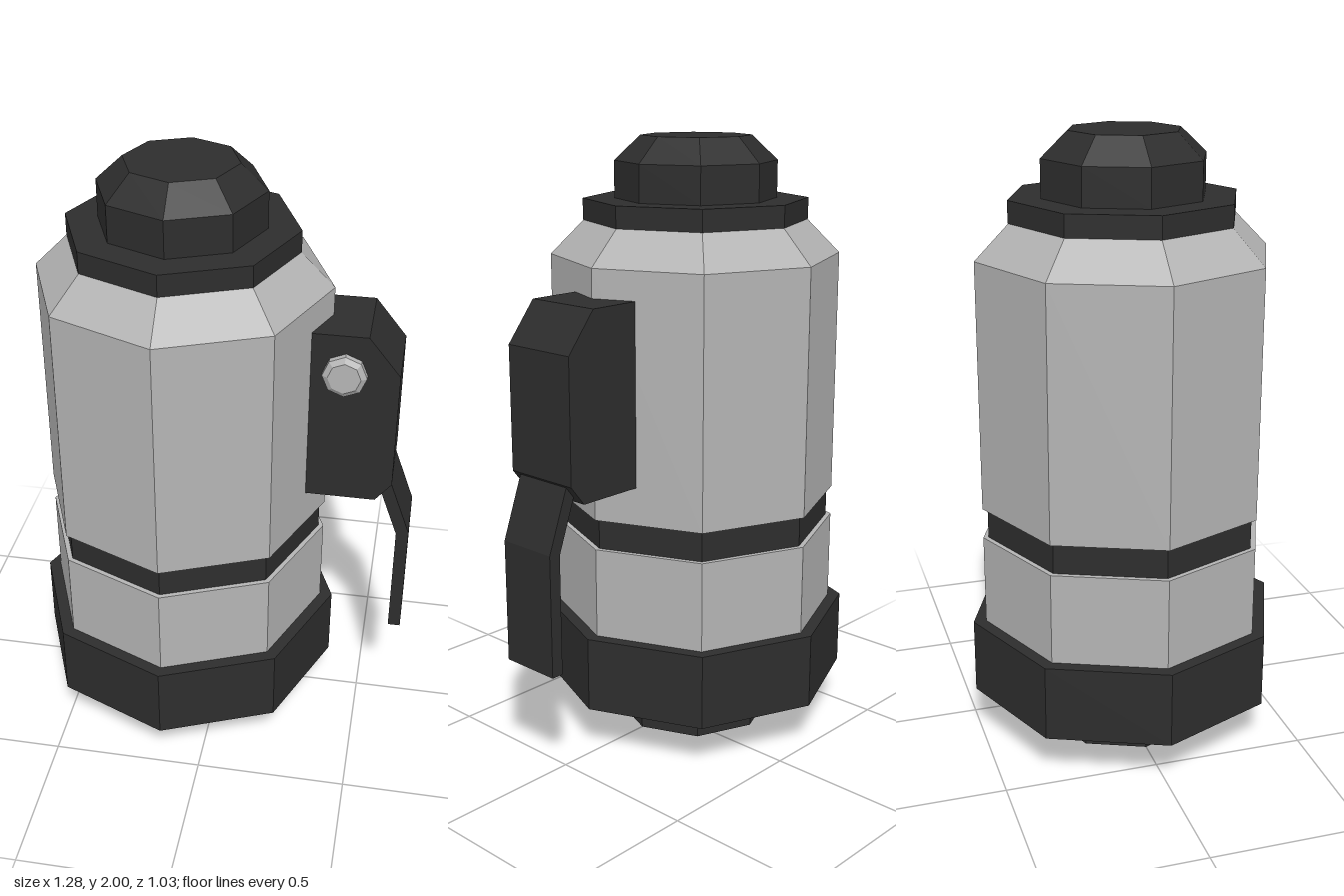
import * as THREE from 'three';

const AXIS_X = -0.127;

export function createModel() {
  const model = new THREE.Group();
  model.name = 'canister';

  const lightMetal = new THREE.MeshStandardMaterial({ color: 0xb4b4b4, flatShading: true });
  lightMetal.name = 'light grey metal';
  const darkMetal = new THREE.MeshStandardMaterial({ color: 0x2d2d2d, flatShading: true });
  darkMetal.name = 'dark grey metal';

  function add(name, geometry, material, x = 0, y = 0, z = 0) {
    const mesh = new THREE.Mesh(geometry, material);
    mesh.name = name;
    mesh.position.set(x, y, z);
    model.add(mesh);
    return mesh;
  }

  // Eight-sided turned part from [radius, height] pairs, bottom to top
  function turned(name, profile, material) {
    const points = profile.map(([r, y]) => new THREE.Vector2(r, y));
    return add(name, new THREE.LatheGeometry(points, 8), material, AXIS_X);
  }

  // Side outline extruded symmetrically across z
  function plate(name, outline, width, material) {
    const shape = new THREE.Shape(outline.map(([x, y]) => new THREE.Vector2(x, y)));
    const geometry = new THREE.ExtrudeGeometry(shape, { depth: width, bevelEnabled: false });
    return add(name, geometry, material, 0, 0, -width / 2);
  }

  // Stacked body
  turned('base', [[0, 0], [0.265, 0], [0.265, 0.05], [0.517, 0.16], [0.517, 0.41], [0, 0.41]], darkMetal);
  turned('lowerBody', [[0.475, 0.41], [0.475, 0.71], [0.4, 0.71]], lightMetal);
  turned('groove', [[0.458, 0.71], [0.458, 0.81]], darkMetal);
  turned('upperBody', [[0.4, 0.81], [0.475, 0.81], [0.475, 1.62], [0.366, 1.73]], lightMetal);
  turned('collar', [[0.368, 1.73], [0.368, 1.8], [0, 1.8]], darkMetal);
  turned('topKnob', [[0.265, 1.8], [0.265, 1.92], [0.18, 2], [0, 2]], darkMetal);

  // Lever housing and bent lever on the model's left
  plate('leverHousing', [
    [0.295, 0.935], [0.52, 0.935], [0.572, 1], [0.572, 1.4], [0.47, 1.527], [0.295, 1.527],
  ], 0.266, darkMetal);
  plate('lever', [
    [0.52, 1], [0.598, 0.785], [0.598, 0.392], [0.639, 0.392], [0.639, 0.793], [0.56, 1.01],
  ], 0.208, darkMetal);

  // Chamfered bolt on the front of the housing
  const boltProfile = [[0.07, 0], [0.07, 0.022], [0.052, 0.034], [0, 0.034]]
    .map(([r, y]) => new THREE.Vector2(r, y));
  const bolt = add('bolt', new THREE.LatheGeometry(boltProfile, 8), lightMetal, 0.402, 1.396, 0.132);
  bolt.rotation.x = Math.PI / 2;

  return model;
}
